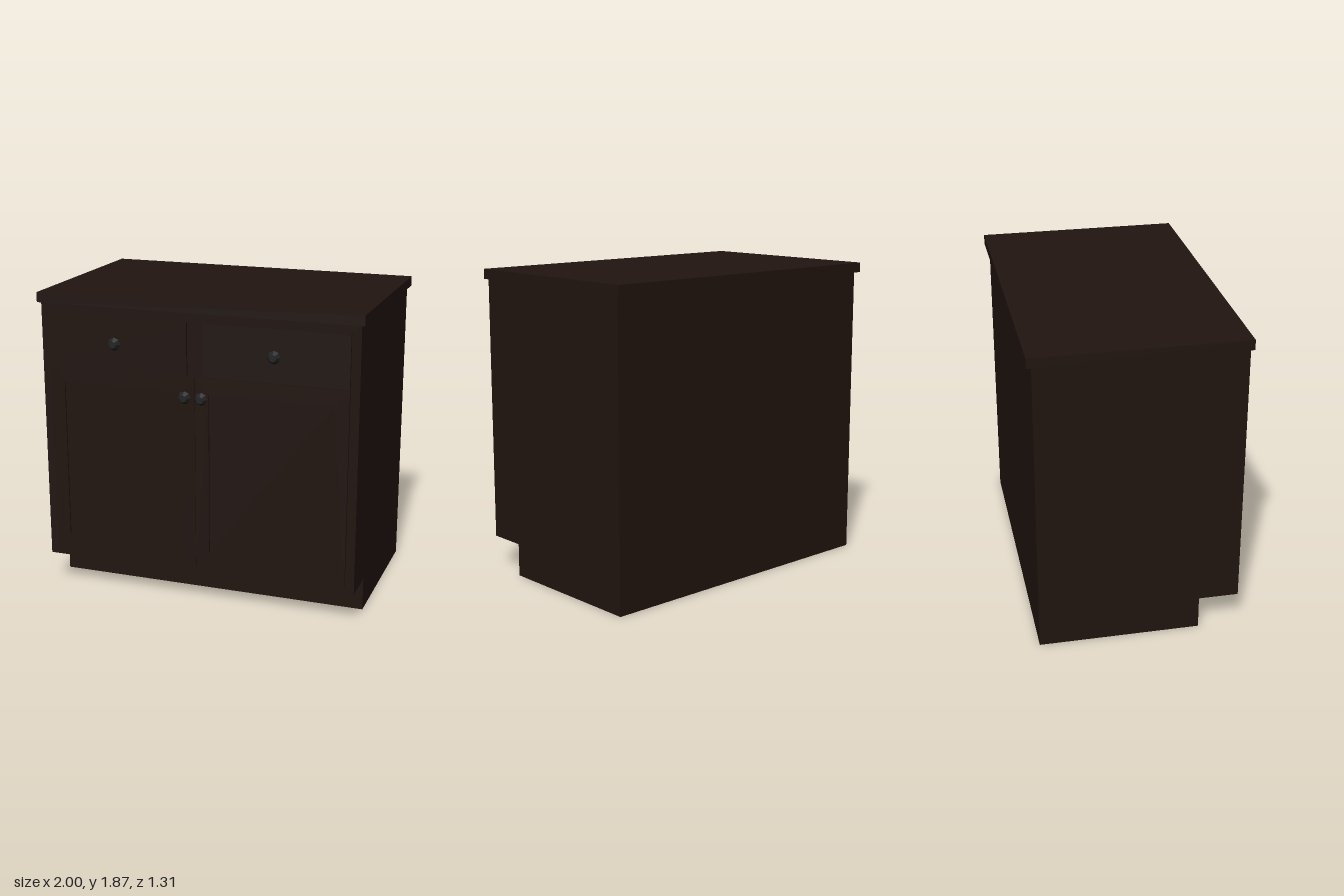
import * as THREE from 'three';

const wood = new THREE.MeshStandardMaterial({ color: 0x20140f });
const metal = new THREE.MeshStandardMaterial({ color: 0x222222, flatShading: true });

function box(name, x0, x1, y0, y1, z0, z1) {
  const mesh = new THREE.Mesh(new THREE.BoxGeometry(x1 - x0, y1 - y0, z1 - z0), wood);
  mesh.position.set((x0 + x1) / 2, (y0 + y1) / 2, (z0 + z1) / 2);
  mesh.name = name;
  return mesh;
}

// Corner points of a rectangle
function rect(x0, x1, y0, y1) {
  return [[x0, y0], [x1, y0], [x1, y1], [x0, y1]].map(([x, y]) => new THREE.Vector2(x, y));
}

// Faceted knob on a short stem, axis along z
function knob(name, x, y) {
  const profile = [[0.012, -0.01], [0.012, 0.012], [0.022, 0.012], [0.04, 0.036], [0.022, 0.064], [0, 0.064]]
    .map(([r, h]) => new THREE.Vector2(r, h));
  const mesh = new THREE.Mesh(new THREE.LatheGeometry(profile, 8), metal);
  mesh.rotation.x = Math.PI / 2;
  mesh.position.set(x, y, 0.593);
  mesh.name = name;
  return mesh;
}

export function createModel() {
  const group = new THREE.Group();
  group.name = 'baseCabinet';

  // Carcass: side outline with toe kick, extruded across the width
  const side = new THREE.Shape([[-0.58, 0.2], [-0.34, 0.2], [-0.34, 0], [0.625, 0], [0.625, 1.81], [-0.58, 1.81]]
    .map(([z, y]) => new THREE.Vector2(z, y)));
  const carcassGeometry = new THREE.ExtrudeGeometry(side, { depth: 1.96, bevelEnabled: false });
  carcassGeometry.translate(0, 0, -0.98).rotateY(Math.PI / 2);
  const carcass = new THREE.Mesh(carcassGeometry, wood);
  carcass.name = 'carcass';
  group.add(carcass);

  group.add(box('countertop', -1, 1, 1.81, 1.87, -0.655, 0.597));

  for (const [label, s] of [['left', 1], ['right', -1]]) {
    // Drawer front
    const drawer = box(label + 'DrawerFront', 0.05, 0.925, 1.44, 1.755, 0.57, 0.595);
    drawer.position.x *= s;
    group.add(drawer);

    // Door: frame around a recessed panel
    const [a, b] = s > 0 ? [0.001, 0.925] : [-0.925, -0.001];
    const [c, d] = s > 0 ? [0.085, 0.838] : [-0.838, -0.085];
    const frame = new THREE.Shape(rect(a, b, 0.25, 1.43));
    frame.holes.push(new THREE.Path(rect(c, d, 0.35, 1.335).reverse()));
    const door = new THREE.Mesh(new THREE.ExtrudeGeometry(frame, { depth: 0.023, bevelEnabled: false }), wood);
    door.position.z = 0.57;
    door.name = label + 'DoorFrame';
    group.add(door, box(label + 'DoorPanel', c, d, 0.35, 1.335, 0.57, 0.583));

    group.add(knob(label + 'DrawerKnob', s * 0.49, 1.6), knob(label + 'DoorKnob', s * 0.052, 1.315));
  }
  return group;
}
